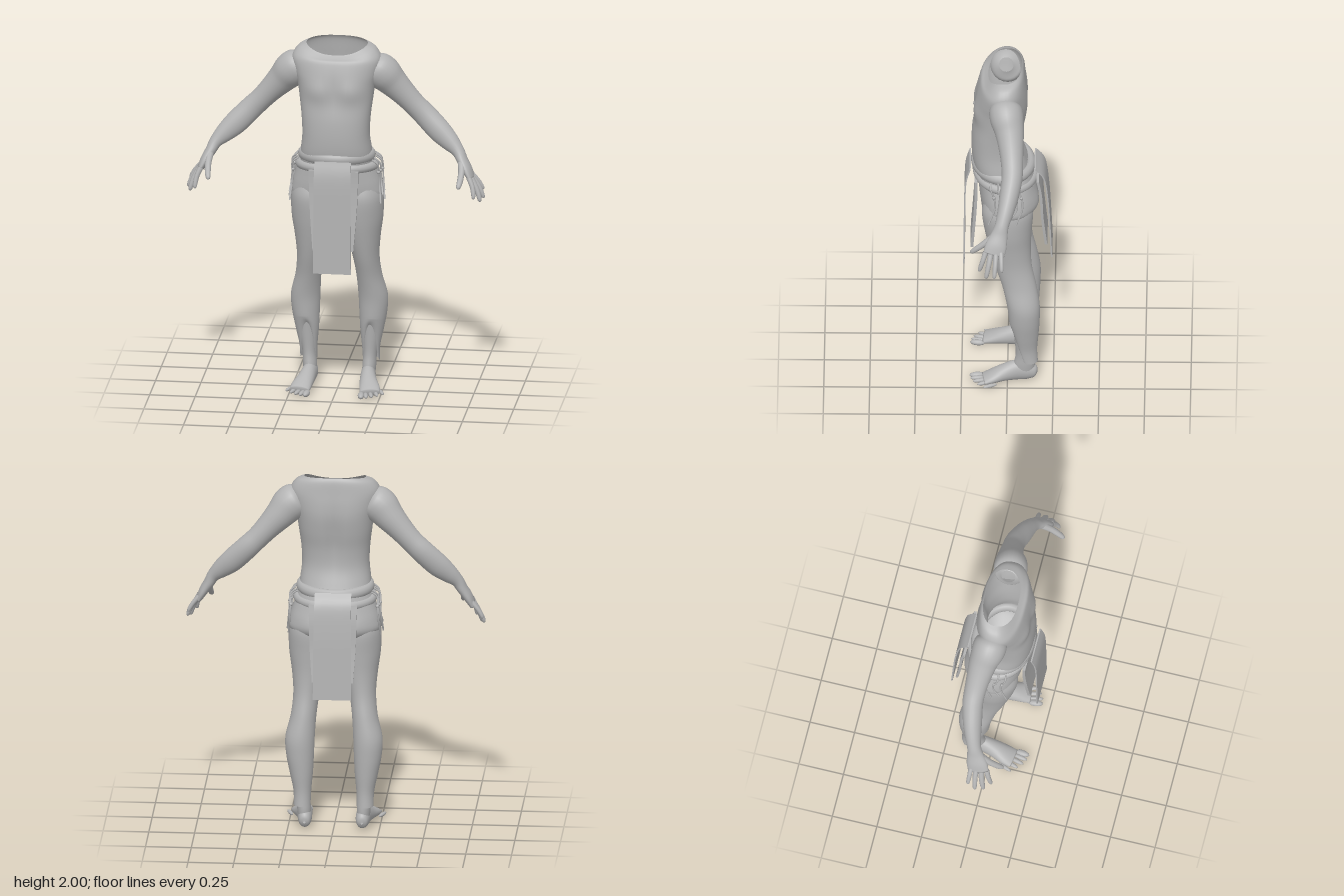
import * as THREE from 'three';

const grey = new THREE.MeshStandardMaterial({ color: 0xb3b3b3, side: THREE.DoubleSide });
grey.name = 'clayGrey';

// Smooth interpolation through rows of numbers, s from 0 to 1
function sampleRows(rows, s) {
  const n = rows.length - 1;
  const f = Math.min(s * n, n - 1e-9), i = Math.floor(f), t = f - i;
  const a = rows[Math.max(i - 1, 0)], b = rows[i], c = rows[i + 1], d = rows[Math.min(i + 2, n)];
  return b.map((_, k) => {
    const m0 = (c[k] - a[k]) / 2, m1 = (d[k] - b[k]) / 2, t2 = t * t, t3 = t2 * t;
    return (2 * t3 - 3 * t2 + 1) * b[k] + (t3 - 2 * t2 + t) * m0 + (3 * t2 - 2 * t3) * c[k] + (t3 - t2) * m1;
  });
}

// Closed tube skin: fn(angle, s) gives a point; optional fan cap at the end
function skin(seg, steps, fn, cap = false) {
  const pos = [], idx = [];
  for (let j = 0; j <= steps; j++)
    for (let i = 0; i < seg; i++) pos.push(...fn((i / seg) * Math.PI * 2, j / steps).toArray());
  for (let j = 0; j < steps; j++)
    for (let i = 0; i < seg; i++) {
      const a = j * seg + i, b = j * seg + (i + 1) % seg;
      idx.push(a, b, a + seg, b, b + seg, a + seg);
    }
  if (cap) {
    const c = new THREE.Vector3(), base = steps * seg;
    for (let i = 0; i < seg; i++) c.add(new THREE.Vector3().fromArray(pos, (base + i) * 3));
    pos.push(...c.divideScalar(seg).toArray());
    for (let i = 0; i < seg; i++) idx.push(base + i, base + (i + 1) % seg, base + seg);
  }
  const g = new THREE.BufferGeometry();
  g.setAttribute('position', new THREE.Float32BufferAttribute(pos, 3));
  g.setIndex(idx);
  g.computeVertexNormals();
  return g;
}

// Upright loft, rows top to bottom: [y, centre x, half width, front z, back z]
function upright(rows, deform, power = 0.9, seg = 40) {
  const soft = v => Math.sign(v) * Math.abs(v) ** power;
  return skin(seg, (rows.length - 1) * 5, (a, s) => {
    const [y, cx, hx, zf, zb] = sampleRows(rows, s);
    const p = new THREE.Vector3(cx + hx * soft(Math.cos(a)), y, (zf + zb) / 2 + (zf - zb) / 2 * soft(Math.sin(a)));
    if (deform) deform(p, a);
    return p;
  });
}

// Loft along a path, rows: [x, y, z, thickness, width along ref]
function along(rows, ref, seg = 20, sub = 5) {
  const at = s => new THREE.Vector3(...sampleRows(rows, s).slice(0, 3));
  return skin(seg, (rows.length - 1) * sub, (a, s) => {
    const [x, y, z, ra, rb] = sampleRows(rows, s);
    const t = at(Math.min(s + 0.01, 1)).sub(at(Math.max(s - 0.01, 0))).normalize();
    const b = ref.clone().addScaledVector(t, -ref.dot(t)).normalize();
    const n = b.clone().cross(t);
    return new THREE.Vector3(x, y, z).addScaledVector(n, Math.cos(a) * ra).addScaledVector(b, Math.sin(a) * rb);
  }, true);
}

function mirrored(geo) {
  const g = geo.clone().scale(-1, 1, 1), ix = g.index;
  for (let i = 0; i < ix.count; i += 3) {
    const b = ix.getX(i + 1);
    ix.setX(i + 1, ix.getX(i + 2));
    ix.setX(i + 2, b);
  }
  return g;
}

// Hanging cloth, rows top to bottom: [y, z, half width]
function cloth(rows, thick) {
  const g = new THREE.BoxGeometry(2, 1, thick, 4, 20, 1), p = g.attributes.position;
  for (let i = 0; i < p.count; i++) {
    const [y, z, w] = sampleRows(rows, 0.5 - p.getY(i));
    p.setXYZ(i, p.getX(i) * w, y, p.getZ(i) + z);
  }
  g.computeVertexNormals();
  return g;
}

// Padded belt around an ellipse, sagging towards the back
function belt(y, rx, zf, zb, r, tall) {
  const pts = [];
  for (let i = 0; i < 24; i++) {
    const a = -(i / 24) * Math.PI * 2, s = Math.sin(a);
    pts.push(new THREE.Vector3(rx * Math.cos(a), (y + 0.012 * (s - 1)) / tall, (zf + zb) / 2 + (zf - zb) / 2 * s));
  }
  return new THREE.TubeGeometry(new THREE.CatmullRomCurve3(pts, true), 64, r, 12, true).scale(1, tall, 1);
}

const bump = (x, y, cx, cy, rx, ry) => Math.exp(-(((x - cx) / rx) ** 2) - ((y - cy) / ry) ** 2);

export function createModel() {
  const model = new THREE.Group();
  const add = (name, geo) => {
    const m = new THREE.Mesh(geo, grey);
    m.name = name;
    model.add(m);
  };
  const pair = (name, geo) => {
    add('left' + name, geo);
    add('right' + name, mirrored(geo));
  };
  const V = (x, y, z) => new THREE.Vector3(x, y, z);

  // Torso with open neck, chest muscles and spine groove
  add('torso', upright([
    [1.985, 0, 0.168, 0.105, -0.078], [1.962, 0, 0.215, 0.125, -0.09], [1.91, 0, 0.245, 0.148, -0.1],
    [1.84, 0, 0.232, 0.168, -0.11], [1.77, 0, 0.213, 0.178, -0.112], [1.68, 0, 0.2, 0.182, -0.1],
    [1.58, 0, 0.188, 0.195, -0.082], [1.48, 0, 0.184, 0.198, -0.08], [1.39, 0, 0.194, 0.19, -0.105],
    [1.32, 0, 0.2, 0.17, -0.13]], (p, a) => {
    const s = Math.sin(a), x = Math.abs(p.x), y = p.y;
    if (s > 0) p.z += s * (0.014 * bump(x, y, 0.1, 1.745, 0.07, 0.06) - 0.008 * bump(x, y, 0, 1.74, 0.03, 0.1));
    else p.z -= s * 0.02 * bump(x, y, 0, 1.65, 0.035, 0.22);
    const top = THREE.MathUtils.smoothstep(y, 1.9, 1.985);
    p.y += top * (s > 0 ? -0.045 * s * s : 0.014 * -s);
  }, 0.85, 48));

  // Arms and hands
  const zRef = V(0, 0, 1);
  pair('Arm', along([
    [0.17, 1.875, 0.01, 0.04, 0.04], [0.205, 1.855, 0.01, 0.088, 0.085], [0.25, 1.82, 0.003, 0.098, 0.092],
    [0.3, 1.765, -0.012, 0.083, 0.08], [0.36, 1.7, -0.022, 0.069, 0.068], [0.42, 1.635, -0.028, 0.062, 0.06],
    [0.48, 1.575, -0.028, 0.064, 0.057], [0.56, 1.495, -0.01, 0.064, 0.052], [0.62, 1.44, 0.008, 0.052, 0.044],
    [0.665, 1.395, 0.025, 0.036, 0.038], [0.69, 1.35, 0.038, 0.03, 0.046], [0.72, 1.3, 0.055, 0.026, 0.058],
    [0.743, 1.255, 0.068, 0.018, 0.058]], zRef, 24));
  [ // knuckle, then fingertip, then radius
    [0.737, 1.27, 0.112, 0.765, 1.16, 0.148, 0.013], [0.745, 1.262, 0.084, 0.797, 1.135, 0.11, 0.014],
    [0.747, 1.262, 0.055, 0.812, 1.143, 0.065, 0.013], [0.742, 1.27, 0.028, 0.805, 1.18, 0.024, 0.012],
    [0.69, 1.345, 0.065, 0.685, 1.23, 0.195, 0.017]
  ].forEach(([x, y, z, u, v, w, r], i) => {
    const at = (t, k) => [x + (u - x) * t + 0.008 * Math.sin(t * Math.PI), y + (v - y) * t, z + (w - z) * t, r * k, r * k];
    pair(i < 4 ? 'Finger' + (i + 1) : 'Thumb',
      along([at(0, 1.2), at(0.4, 1.05), at(0.75, 0.95), at(0.94, 0.7), at(1, 0.15)], zRef, 10, 3));
  });

  // Wrapped hips
  add('hipWrap', upright([
    [1.33, 0, 0.2, 0.165, -0.14], [1.26, 0, 0.225, 0.16, -0.155], [1.19, 0, 0.247, 0.155, -0.165],
    [1.13, 0, 0.25, 0.147, -0.16], [1.08, 0, 0.19, 0.14, -0.13], [1.03, 0, 0.1, 0.1, -0.08],
    [1.0, 0, 0.03, 0.03, -0.03]], (p, a) => {
    const x = Math.abs(p.x);
    if (Math.sin(a) < 0) p.z += 0.04 * bump(x, p.y, 0, 1.12, 0.03, 0.09) - 0.014 * bump(x, p.y, 0.11, 1.15, 0.07, 0.06);
  }, 0.85));

  // Leggings with an arched opening over each shin
  pair('Legging', upright([
    [1.2, 0.14, 0.09, 0.12, -0.12], [1.12, 0.142, 0.11, 0.14, -0.14], [1.0, 0.137, 0.114, 0.126, -0.133],
    [0.88, 0.142, 0.093, 0.1, -0.127], [0.76, 0.153, 0.073, 0.068, -0.133], [0.64, 0.167, 0.07, 0.03, -0.157],
    [0.52, 0.185, 0.08, 0.003, -0.176], [0.42, 0.185, 0.076, -0.008, -0.176], [0.32, 0.178, 0.064, -0.017, -0.17],
    [0.22, 0.172, 0.049, -0.035, -0.162], [0.14, 0.172, 0.046, -0.06, -0.166]], (p, a) => {
    const hem = 0.135 + 0.2 * Math.max(0, Math.sin(a)) ** 3;
    if (p.y < 0.4) p.y = 0.4 - (0.4 - p.y) * (0.4 - hem) / 0.26;
  }, 1));

  // Shins, feet and toes
  pair('Shin', upright([
    [0.4, 0.18, 0.056, -0.025, -0.155], [0.28, 0.174, 0.047, -0.038, -0.15], [0.18, 0.168, 0.037, -0.045, -0.148],
    [0.11, 0.163, 0.038, -0.035, -0.15], [0.05, 0.16, 0.034, -0.03, -0.145]], null, 1, 24));
  pair('Foot', along([
    [0.157, 0.045, -0.162, 0.006, 0.006], [0.157, 0.048, -0.15, 0.036, 0.028], [0.158, 0.058, -0.11, 0.056, 0.038],
    [0.162, 0.062, -0.05, 0.06, 0.041], [0.172, 0.05, 0.02, 0.047, 0.048], [0.187, 0.034, 0.085, 0.031, 0.056],
    [0.194, 0.022, 0.13, 0.019, 0.055]], V(1, 0, 0), 24));
  for (let i = 0; i < 5; i++) {
    const r = i ? 0.0135 - i * 0.0006 : 0.018;
    const toe = new THREE.SphereGeometry(1, 12, 8).scale(r, r * 0.9, 0.042);
    toe.rotateY(0.1 + i * 0.07).translate(0.15 + i * 0.0255, 0.016, 0.166 - i * i * 0.0045);
    pair('Toe' + (i + 1), toe);
  }

  // Two padded belts
  add('upperBelt', belt(1.368, 0.187, 0.175, -0.125, 0.026, 1.25));
  add('lowerBelt', belt(1.308, 0.206, 0.168, -0.145, 0.024, 1.1));

  // Layered apron cloths
  add('frontApron', cloth([[1.36, 0.205, 0.1], [1.27, 0.228, 0.101], [1.1, 0.234, 0.102], [0.9, 0.236, 0.103], [0.73, 0.238, 0.104]], 0.008));
  add('frontUnderApron', cloth([[1.3, 0.172, 0.137], [1.2, 0.172, 0.134], [1.05, 0.18, 0.127], [0.85, 0.195, 0.112]], 0.016));
  add('backApron', cloth([[1.365, -0.15, 0.1], [1.3, -0.198, 0.1], [1.15, -0.22, 0.102], [0.95, -0.232, 0.104], [0.78, -0.24, 0.105]], 0.008));
  add('backUnderApron', cloth([[1.3, -0.165, 0.132], [1.2, -0.182, 0.13], [1.05, -0.19, 0.125], [0.87, -0.21, 0.112]], 0.014));

  // Knotted cords hanging at the hips
  [0.09, 0.05, 0.01, -0.03, -0.06].forEach((z, i) => {
    const x = 0.232 - Math.abs(z - 0.01) * 0.15, low = 1.1 + (i % 2) * 0.04;
    const path = new THREE.CatmullRomCurve3([V(x - 0.02, 1.345, z), V(x + 0.012, 1.32, z), V(x + 0.016, 1.26, z - 0.02),
      V(x + 0.02, 1.2, z - 0.022), V(x + 0.03, low, z + 0.012)]);
    pair('HipCord' + (i + 1), new THREE.TubeGeometry(path, 20, 0.005, 6));
    pair('CordKnot' + (i + 1), new THREE.SphereGeometry(0.01, 8, 6).translate(x + 0.015, 1.27, z - 0.016));
  });

  return model;
}
